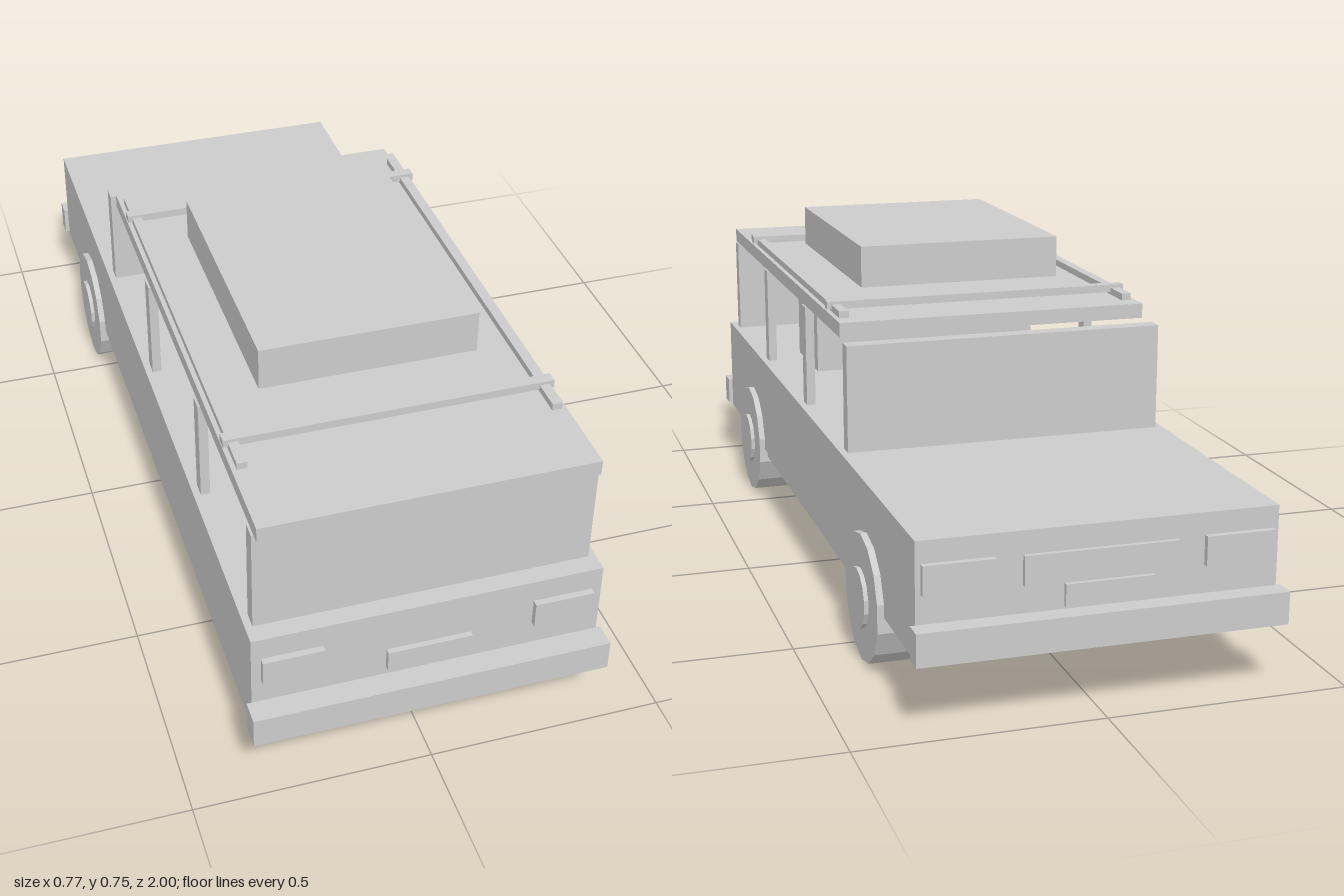
import * as THREE from 'three';

const material = new THREE.MeshStandardMaterial({ color: 0xcccccc, flatShading: true });

export function createModel() {
  const car = new THREE.Group();
  car.name = 'estateCar';

  // Box given by its lower and upper limits on each axis
  function box(name, [x0, x1], [y0, y1], [z0, z1]) {
    const mesh = new THREE.Mesh(new THREE.BoxGeometry(x1 - x0, y1 - y0, z1 - z0), material);
    mesh.position.set((x0 + x1) / 2, (y0 + y1) / 2, (z0 + z1) / 2);
    mesh.name = name;
    car.add(mesh);
  }
  // Box centred across the car
  const wide = (name, half, y, z) => box(name, [-half, half], y, z);
  // Matching boxes on both sides
  function pair(name, [x0, x1], y, z) {
    box(name + 'Left', [x0, x1], y, z);
    box(name + 'Right', [-x1, -x0], y, z);
  }

  // Lower body
  wide('body', 0.363, [0.14, 0.375], [-0.95, 0.95]);
  wide('underbody', 0.357, [0.121, 0.14], [-0.68, 0.70]);
  wide('tailBumper', 0.373, [0.145, 0.212], [0.95, 1.0]);
  wide('bonnetBumper', 0.373, [0.145, 0.212], [-0.992, -0.95]);

  // Cabin: end panels, side pillars, bench and roof
  wide('windscreen', 0.348, [0.375, 0.605], [-0.375, -0.34]);
  wide('tailgateWindow', 0.348, [0.375, 0.605], [0.875, 0.91]);
  pair('middlePillar', [0.328, 0.348], [0.375, 0.605], [0.026, 0.062]);
  pair('rearPillar', [0.328, 0.348], [0.375, 0.605], [0.473, 0.508]);
  wide('benchSeat', 0.272, [0.396, 0.565], [0.25, 0.46]);
  wide('roof', 0.343, [0.605, 0.637], [-0.295, 0.93]);

  // Roof rack and luggage
  pair('rackRail', [0.312, 0.333], [0.637, 0.652], [-0.25, 0.757]);
  for (const z of [-0.168, 0.68]) wide('rackCrossbar', 0.343, [0.642, 0.659], [z - 0.012, z + 0.012]);
  wide('luggageBox', 0.232, [0.657, 0.75], [-0.04, 0.55]);

  // Lamps, grille and plates
  pair('tailLamp', [0.218, 0.343], [0.268, 0.325], [0.945, 0.964]);
  wide('tailPlate', 0.088, [0.232, 0.278], [0.945, 0.962]);
  pair('headlamp', [0.21, 0.352], [0.27, 0.33], [-0.963, -0.945]);
  wide('grille', 0.155, [0.268, 0.328], [-0.96, -0.945]);
  wide('bonnetPlate', 0.088, [0.235, 0.28], [-1.0, -0.991]);

  // Wheels: the right tail corner has none
  function wheel(name, side, z) {
    const group = new THREE.Group();
    group.name = name;
    for (const [part, radius, x0, x1] of [['tyre', 0.135, 0.283, 0.377], ['hub', 0.063, 0.37, 0.386]]) {
      const geometry = new THREE.CylinderGeometry(radius, radius, x1 - x0, 14, 1, false, Math.PI / 2);
      geometry.rotateZ(Math.PI / 2);
      const mesh = new THREE.Mesh(geometry, material);
      mesh.name = part;
      mesh.position.x = side * (x0 + x1) / 2;
      // Put a corner of the polygon at the bottom
      group.add(mesh);
    }
    group.position.set(0, 0.137, z);
    car.add(group);
  }
  wheel('bonnetWheelLeft', 1, -0.592);
  wheel('bonnetWheelRight', -1, -0.592);
  wheel('tailWheelLeft', 1, 0.615);

  return car;
}
